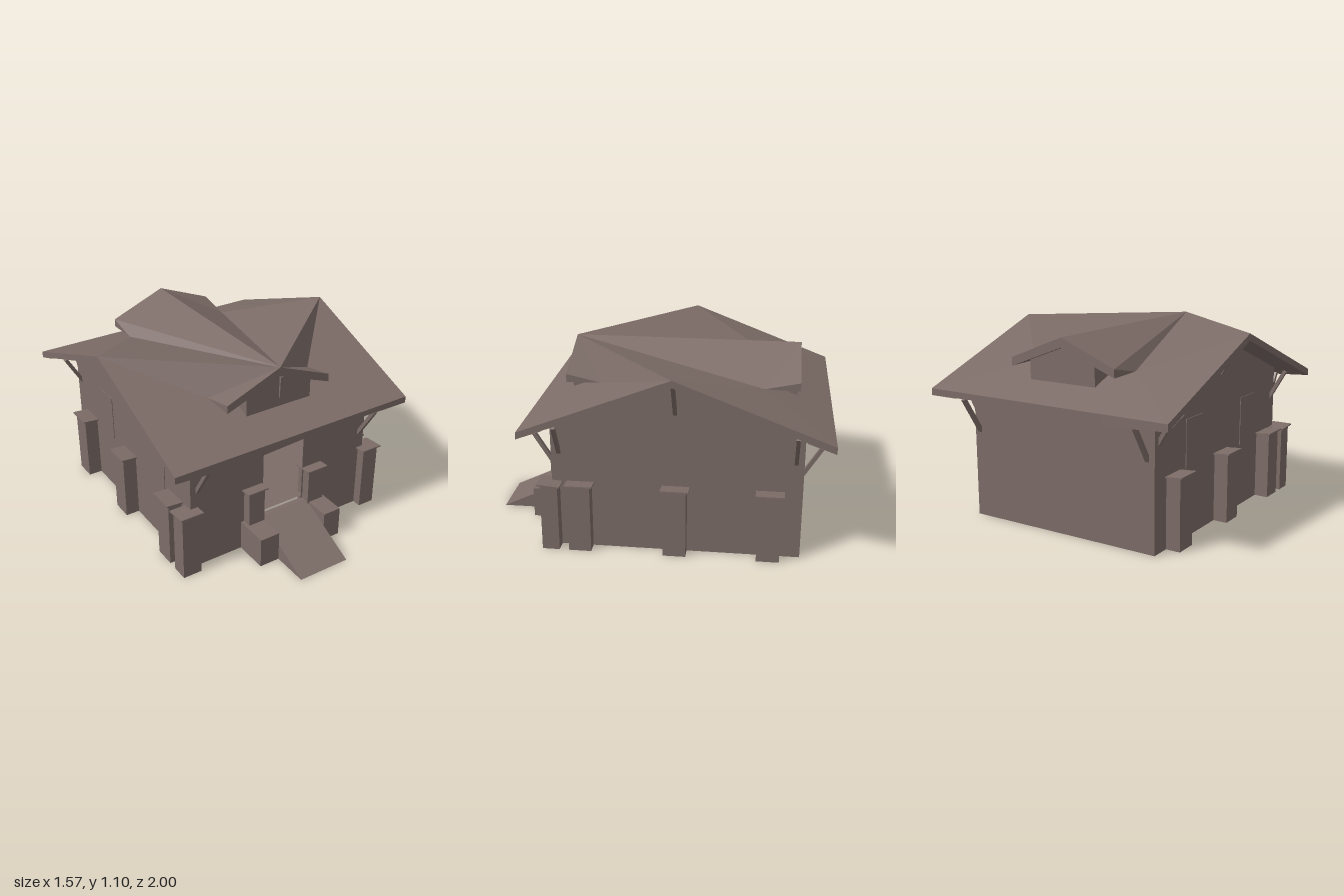
import * as THREE from 'three';

const stone = new THREE.MeshStandardMaterial({ color: 0x7c6c67, side: THREE.DoubleSide });
stone.name = 'warm grey brown';

export function createModel() {
  const house = new THREE.Group();
  house.name = 'house';

  const add = (name, geometry) => {
    const mesh = new THREE.Mesh(geometry, stone);
    mesh.name = name;
    house.add(mesh);
    return mesh;
  };
  // Box given by its minimum and maximum on each axis
  const box = (name, x0, x1, y0, y1, z0, z1) => {
    const m = add(name, new THREE.BoxGeometry(x1 - x0, y1 - y0, z1 - z0));
    m.position.set((x0 + x1) / 2, (y0 + y1) / 2, (z0 + z1) / 2);
    return m;
  };
  // Flat-shaded surface from convex polygons of corner points
  const faces = (name, polygons) => {
    const pos = [];
    for (const p of polygons)
      for (let i = 1; i < p.length - 1; i++) pos.push(...p[0], ...p[i], ...p[i + 1]);
    const g = new THREE.BufferGeometry();
    g.setAttribute('position', new THREE.Float32BufferAttribute(pos, 3));
    g.computeVertexNormals();
    return add(name, g);
  };
  // Square strut between two points
  const strut = (name, a, b, size = 0.022) => {
    const from = new THREE.Vector3(...a), to = new THREE.Vector3(...b);
    const m = add(name, new THREE.BoxGeometry(size, size, from.distanceTo(to)));
    m.position.copy(from).add(to).multiplyScalar(0.5);
    m.lookAt(to);
  };

  // Hollow walls: gable sides, back, and a front with a doorway
  const X0 = -0.615, X1 = 0.605, ZF = 0.575, ZB = -0.845, wallY = 0.785, floorY = 0.21;
  const gable = (x) => [[x, 0, ZF], [x, 0, ZB], [x, wallY, ZB], [x, 1.058, -0.13], [x, wallY, ZF]];
  const panel = (x0, x1, y0, y1, z) => [[x0, y0, z], [x1, y0, z], [x1, y1, z], [x0, y1, z]];
  faces('walls', [
    gable(X1),
    gable(X0).reverse(),
    panel(X0, X1, 0, wallY, ZB).reverse(),
    panel(X0, -0.13, 0, wallY, ZF),
    panel(0.15, X1, 0, wallY, ZF),
    panel(-0.13, 0.15, 0.68, wallY, ZF),
    panel(-0.13, 0.15, 0, 0.17, ZF),
  ]);
  // Raised floor inside the walls
  faces('floor', [[[X0, floorY, ZF], [X1, floorY, ZF], [X1, floorY, ZB], [X0, floorY, ZB]]]);

  // Main roof and the folded surface joining both dormers
  const W = 0.785, ridgeY = 1.095, eaveY = 0.764, T = 0.04;
  const F = [0, ridgeY, 0.53], B = [0, ridgeY, -0.81];
  const ridge = (s, x = W) => [s * x, ridgeY, -0.13];
  const eave = (s, z, x = W) => [s * x, eaveY, z];
  const valley = (s, z) => [s * 0.345, 0.914, z];
  const tip = (s, z) => [s * 0.345, 0.957, z];
  const low = ([x, y, z], d = T) => [x, y - d, z];
  const slopes = [], trim = [], under = [];
  // Slightly sagging lower line of the eaves, as (x, y)
  const sag = [[-W, 0.724], [-0.4, 0.7], [0.25, 0.733], [W, 0.724]];
  for (const [d, ze, zv, zw] of [[1, 0.72, 0.33, ZF], [-1, -1, -0.61, ZB]]) {
    slopes.push(
      [eave(-d, ze), eave(d, ze), valley(d, zv), valley(-d, zv)],
      [eave(d, ze), ridge(d), valley(d, zv)],
      [ridge(-d), eave(-d, ze), valley(-d, zv)],
    );
    // Eave board and the soffit behind it
    for (let i = 0; i < 3; i++) {
      const [xa, ya] = sag[i], [xb, yb] = sag[i + 1];
      trim.push([[xa, ya, ze], [xb, yb, ze], [xb, eaveY, ze], [xa, eaveY, ze]]);
      under.push([[xa, ya, ze], [xa, 0.778, zw], [xb, 0.778, zw], [xb, yb, ze]]);
    }
    // Gable boards and overhang
    for (const s of [-1, 1]) {
      trim.push([eave(s, ze), ridge(s), low(ridge(s)), low(eave(s, ze))]);
      under.push([eave(s, ze), ridge(s), ridge(s, 0.6), eave(s, ze, 0.6)].map((p) => low(p)));
    }
  }
  // Folds fanning out from the front dormer peak
  for (const s of [-1, 1]) {
    const wind = (a, b, c) => (s < 0 ? [a, b, c] : [a, c, b]);
    slopes.push(wind(F, ridge(s), valley(s, 0.33)), wind(F, valley(s, -0.61), ridge(s)));
    slopes.push(wind(F, valley(s, 0.33), tip(s, 0.53)));
  }
  slopes.push(
    [F, tip(-1, -0.81), valley(-1, -0.61)], [F, B, tip(-1, -0.81)],
    [F, valley(1, -0.61), B], [B, valley(1, -0.61), tip(1, -0.81)],
  );
  // Dormer barge boards, level soffits and closing gables
  for (const [apex, zv] of [[F, 0.33], [B, -0.61]]) {
    const z = apex[2], peak = low(apex, 0.055), inner = [0, peak[1], zv];
    for (const s of [-1, 1]) {
      const end = [s * 0.345, 0.908, z];
      trim.push([apex, tip(s, z), end, peak], [tip(s, z), end, valley(s, zv)]);
      under.push([peak, end, valley(s, zv), inner]);
    }
    trim.push([valley(-1, zv), valley(1, zv), inner]);
  }
  faces('roof', slopes);
  faces('roofTrim', trim);
  faces('roofSoffit', under);

  // Dormer walls
  for (const z of [0.345, -0.795]) {
    const s = new THREE.Shape([[-0.21, 0.835], [0.225, 0.835], [0.225, 0.952], [0, 1.038], [-0.21, 0.956]]
      .map((p) => new THREE.Vector2(...p)));
    const g = new THREE.ExtrudeGeometry(s, { depth: 0.17, bevelEnabled: false });
    add('dormerWall', g.translate(0, 0, z));
  }
  strut('dormerBrace', [0.015, 0.9, 0.515], [0.015, 1.03, 0.522], 0.016);

  // Open-bottomed pillars with thin caps tilted outwards
  const pillar = (x0, x1, z0, z1, tiltX, tiltZ) => {
    const tube = new THREE.CylinderGeometry(Math.SQRT1_2, Math.SQRT1_2, 0.4, 4, 1, true)
      .rotateY(Math.PI / 4).toNonIndexed();
    tube.scale(x1 - x0, 1, z1 - z0).translate((x0 + x1) / 2, 0.2, (z0 + z1) / 2);
    tube.computeVertexNormals();
    add('pillar', tube);
    const cap = box('pillarCap', x0 - 0.015, x1 + 0.015, 0.4, 0.408, z0 - 0.015, z1 + 0.015);
    cap.rotation.set(tiltX, 0, tiltZ);
  };
  for (const [x0, x1, s] of [[-0.7, -0.585, -1], [0.575, 0.68, 1]]) {
    pillar(x0, x1, 0.53, 0.63, -0.08, 0);
    for (const [z0, z1] of [[0.345, 0.475], [-0.2, -0.07], [-0.73, -0.6]]) pillar(x0, x1, z0, z1, 0, s * 0.08);
  }
  pillar(-0.26, -0.155, 0.53, 0.63, -0.08, 0);
  pillar(0.16, 0.27, 0.53, 0.63, -0.08, 0);

  // Entrance ramp between two low blocks
  const profile = [[1, 0], [0.78, 0], [0.57, 0.15], [0.57, 0.19], [0.6, 0.19]];
  const ramp = new THREE.ExtrudeGeometry(
    new THREE.Shape(profile.map((p) => new THREE.Vector2(...p))), { depth: 0.325, bevelEnabled: false });
  add('ramp', ramp.rotateY(-Math.PI / 2).translate(0.17, 0, 0));
  box('stepBlock', -0.28, -0.155, 0, 0.185, 0.57, 0.78);
  box('stepBlock', 0.17, 0.285, 0, 0.185, 0.57, 0.78);

  // Side windows
  for (const z of [-0.53, 0.11]) box('sideWindow', -0.619, -0.614, 0.38, 0.67, z, z + 0.18);

  // Eave and gable braces
  for (const s of [-1, 1]) {
    const x = s * 0.57, wall = s * 0.6;
    strut('frontBrace', [x, 0.51, 0.57], [x, 0.72, 0.7]);
    strut('backBrace', [x, 0.51, -0.84], [x, 0.72, -0.97]);
    strut('ridgeBrace', [wall, 0.84, -0.13], [s * 0.72, 1.04, -0.13]);
    for (const z of [0.53, -0.8]) strut('gableBrace', [wall, 0.58, z], [s * 0.71, 0.77, z]);
  }
  return house;
}
